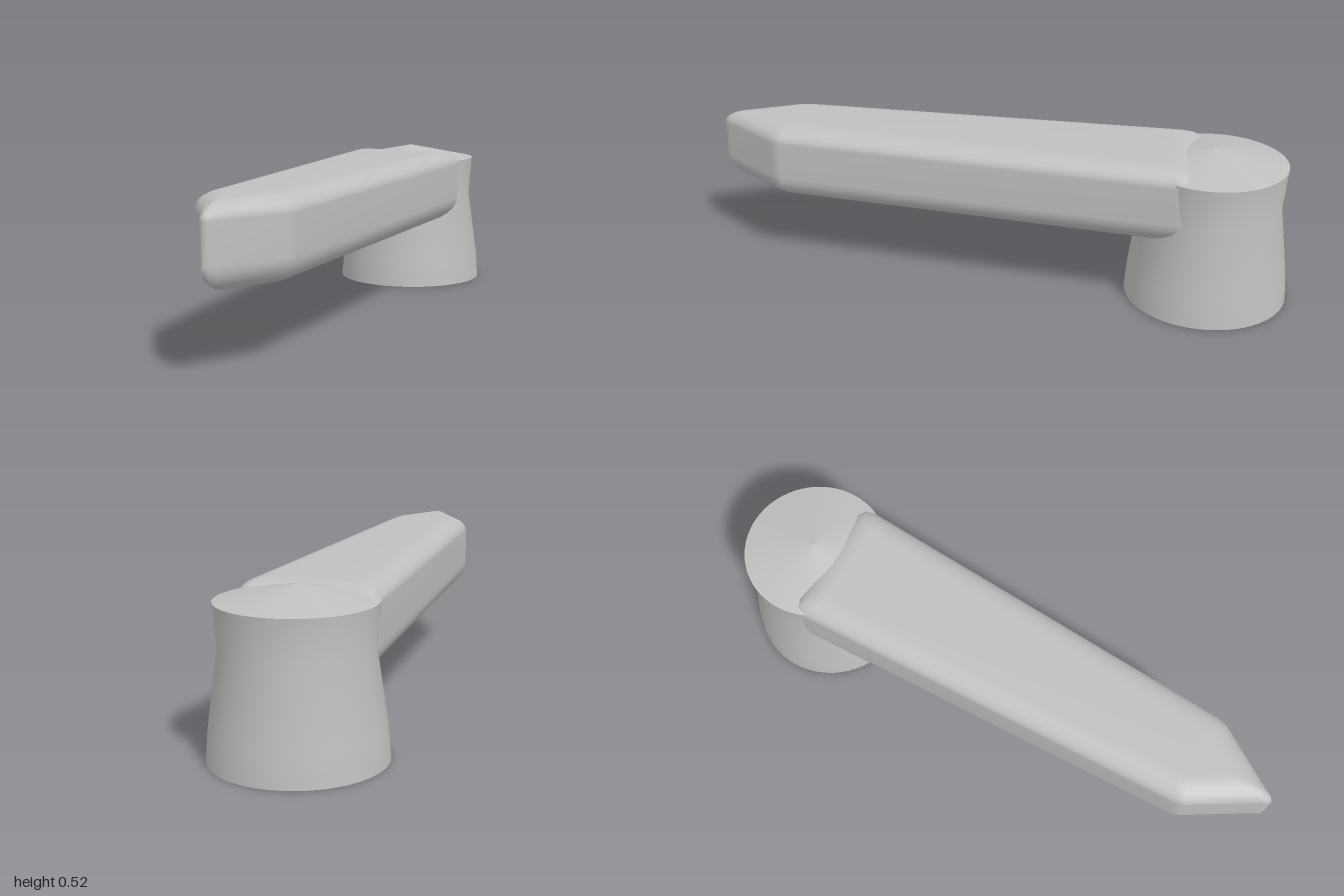
import * as THREE from 'three';

const gray = new THREE.MeshStandardMaterial({ color: 0xc0c0c0 });
gray.name = 'light gray';

// Revolved surface from [radius, y] points, listed bottom to top
function lathe(name, points) {
  const pts = points.map(([r, y]) => new THREE.Vector2(r, y));
  const mesh = new THREE.Mesh(new THREE.LatheGeometry(pts, 64), gray);
  mesh.name = name;
  return mesh;
}

// Pointed lever: a tapered outline whose upper and lower rims are rounded inwards
function leverGeometry() {
  // Right half from back to tip: outer x, z, then inset x, z on the flat faces
  const half = [
    [0.19, -0.68, 0.125, -0.595],
    [0.215, -0.665, 0.135, -0.59],
    [0.223, -0.63, 0.138, -0.575],
    [0.162, 0.73, 0.079, 0.705],
    [0.152, 0.765, 0.075, 0.73],
    [0.021, 0.975, 0.01, 0.845],
    [0.012, 0.993, 0.005, 0.855],
    [0, 1, 0, 0.86],
  ];
  const last = half.length - 1;
  const left = half.slice(0, last).reverse().map(([x, z, u, w]) => [-x, z, -u, w]);
  const outline = [...half, ...left];
  const n = outline.length;

  // Rings as [inset amount, height]
  const rings = [];
  const steps = 6;
  for (let i = 0; i <= steps; i++) {
    const a = (i / steps) * Math.PI / 2;
    rings.push([1 - Math.sin(a), 0.335 - 0.083 * Math.cos(a)]);
  }
  for (let i = 0; i <= steps; i++) {
    const a = (i / steps) * Math.PI / 2;
    rings.push([1 - Math.cos(a), 0.46 + 0.053 * Math.sin(a)]);
  }

  const pos = [];
  const index = [];
  for (const [t, y] of rings) {
    for (const [x, z, u, w] of outline) pos.push(x + (u - x) * t, y, z + (w - z) * t);
  }
  for (let j = 0; j < rings.length - 1; j++) {
    for (let i = 0; i < n; i++) {
      const a = j * n + i;
      const b = j * n + (i + 1) % n;
      index.push(a, a + n, b, b, a + n, b + n);
    }
  }
  // Flat top and underside
  const top = (rings.length - 1) * n;
  for (let k = 0; k < last; k++) {
    const r0 = k, r1 = k + 1;
    const l0 = 2 * last - k, l1 = 2 * last - k - 1;
    const tris = [[r0, l0, r1]];
    if (l1 !== r1) tris.push([l0, l1, r1]);
    for (const [a, b, c] of tris) {
      index.push(top + a, top + b, top + c, a, c, b);
    }
  }
  const geo = new THREE.BufferGeometry();
  geo.setAttribute('position', new THREE.Float32BufferAttribute(pos, 3));
  geo.setIndex(index);
  geo.computeVertexNormals();
  return geo;
}

export function createModel() {
  const model = new THREE.Group();
  model.name = 'leverHandle';

  // Waisted hub with a shallow cone on top
  const hub = new THREE.Group();
  hub.name = 'hub';
  hub.position.z = -0.727;
  hub.add(
    lathe('hubSide', [[0.273, 0], [0.265, 0.1], [0.232, 0.335], [0.243, 0.476]]),
    lathe('hubTop', [[0.243, 0.476], [0, 0.524]]),
    lathe('hubBottom', [[0, 0], [0.273, 0]]),
  );
  model.add(hub);

  const lever = new THREE.Mesh(leverGeometry(), gray);
  lever.name = 'lever';
  model.add(lever);
  return model;
}
